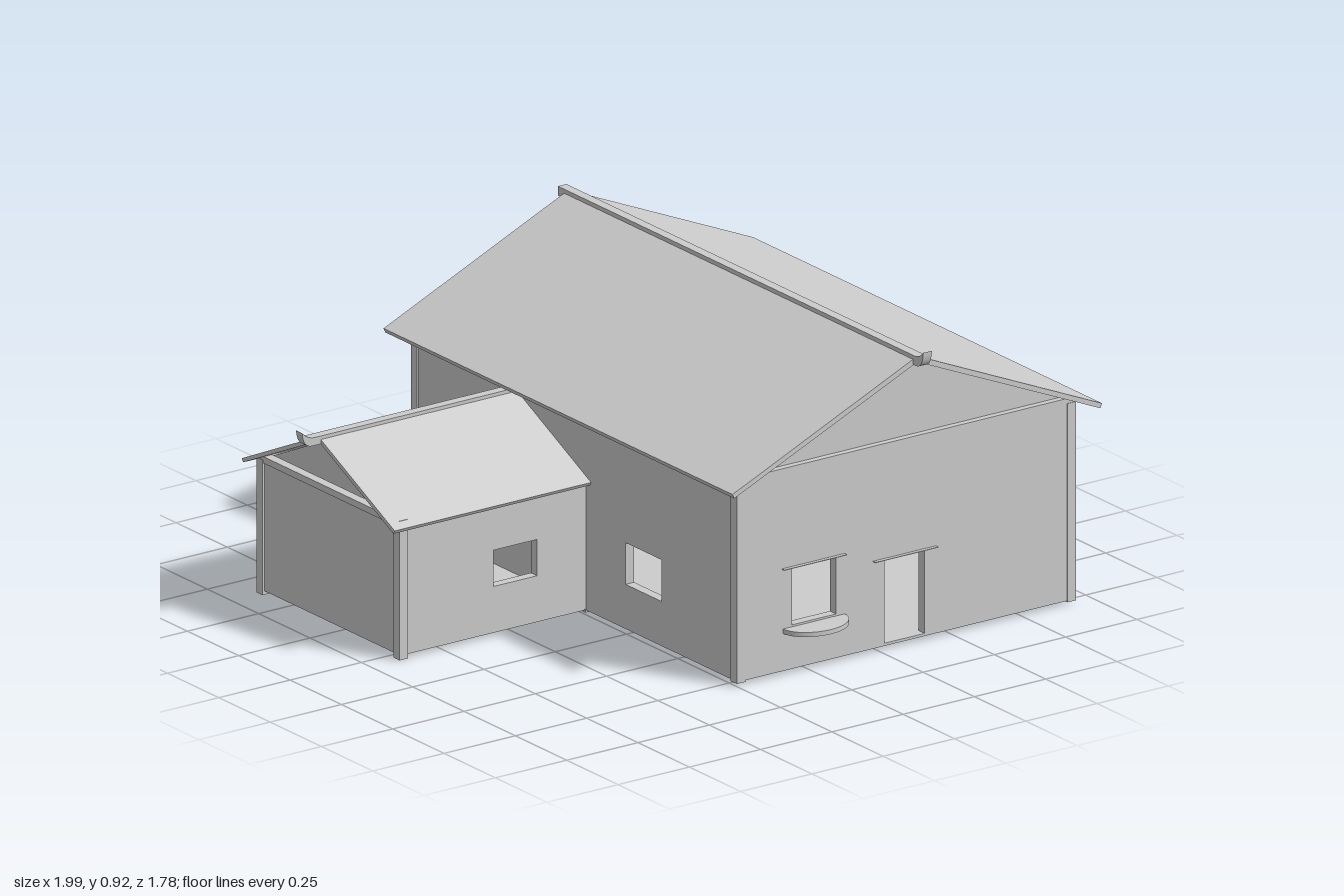
import * as THREE from 'three';

const T = 0.03; // wall thickness

export function createModel() {
  const house = new THREE.Group();
  house.name = 'house';
  const plaster = new THREE.MeshStandardMaterial({ color: 0xcccccc });
  plaster.name = 'plain grey';

  const add = (name, geo) => {
    const mesh = new THREE.Mesh(geo, plaster);
    mesh.name = name;
    house.add(mesh);
    return mesh;
  };
  const box = (name, x0, x1, y0, y1, z0, z1) =>
    add(name, new THREE.BoxGeometry(x1 - x0, y1 - y0, z1 - z0)
      .translate((x0 + x1) / 2, (y0 + y1) / 2, (z0 + z1) / 2));
  const polygon = (pts) => new THREE.Shape(pts.map(([a, b]) => new THREE.Vector2(a, b)));
  const rect = (a0, a1, b0, b1) => polygon([[a0, b0], [a1, b0], [a1, b1], [a0, b1]]);
  const extrude = (shape, depth) =>
    new THREE.ExtrudeGeometry(shape, { depth, bevelEnabled: false, curveSegments: 16 });
  // Profile in x,y reaching from z1 back by depth
  const alongZ = (name, shape, z1, depth) =>
    add(name, extrude(shape, depth).translate(0, 0, z1 - depth));
  // Profile in z,y reaching from x1 towards -x by depth
  const alongX = (name, shape, x1, depth) =>
    add(name, extrude(shape, depth).rotateY(-Math.PI / 2).translate(x1, 0, 0));
  const withHoles = (shape, ...holes) => {
    shape.holes.push(...holes.map((h) => rect(...h)));
    return shape;
  };

  // Roof slab profile: two slopes meeting at the ridge
  const roofShape = (c, half, eave, ridge, t) => polygon([
    [c - half, eave], [c - half + 0.006, eave - t * 0.75], [c, ridge - t],
    [c + half - 0.006, eave - t * 0.75], [c + half, eave], [c, ridge],
  ]);
  const gableShape = (c, half, base, top) => polygon([[c - half, base], [c + half, base], [c, top]]);
  // Ridge beam profile with one upturned end at the positive tip
  const ridgeShape = (back, tip, bottom, top) => {
    const s = new THREE.Shape();
    s.moveTo(back, bottom);
    s.lineTo(tip - 0.035, bottom);
    s.quadraticCurveTo(tip - 0.003, bottom, tip, top + 0.022);
    s.quadraticCurveTo(tip - 0.02, top, tip - 0.045, top);
    s.lineTo(back, top);
    s.closePath();
    return s;
  };

  // Main hall walls
  const sideWindow = [0.24, 0.415, 0.147, 0.273];
  alongZ('frontWall', withHoles(rect(-0.25, 0.94, 0.012, 0.6),
    [-0.055, 0.1, 0.145, 0.32], [0.27, 0.41, 0.02, 0.275]), 0.785, T);
  alongZ('backWall', rect(-0.25, 0.94, 0.012, 0.6), -0.77, T);
  alongX('rightWall', withHoles(rect(-0.77, 0.755, 0.012, 0.6), sideWindow), 0.936, T);
  alongX('leftWall', withHoles(rect(-0.77, 0.755, 0.012, 0.6), sideWindow), -0.246 + T, T);
  box('mainFloor', -0.24, 0.93, 0.012, 0.02, -0.79, 0.78);

  // Main corner posts
  for (const x of [-0.25, 0.91]) {
    for (const z of [-0.801, 0.757]) box('mainPost', x, x + T, 0.008, 0.61, z, z + T);
  }

  // Main gables, set back above a tie beam
  for (const [zBeam, zGable] of [[0.785, 0.765], [-0.77, -0.755]]) {
    box('tieBeam', -0.245, 0.935, 0.6, 0.625, zBeam - T, zBeam);
    alongZ('mainGable', gableShape(0.345, 0.59, 0.61, 0.87), zGable, 0.02);
  }

  // Main roof and ridge
  alongZ('mainRoof', roofShape(0.345, 0.648, 0.609, 0.89, 0.018), 0.84, 1.7);
  alongX('mainRidge', ridgeShape(-0.89, 0.89, 0.868, 0.896), 0.36, T);

  // Wing walls
  alongZ('wingFrontWall', withHoles(rect(-0.9, -0.246, 0.012, 0.41),
    [-0.57, -0.417, 0.152, 0.262]), 0.046, T);
  alongZ('wingBackWall', rect(-0.9, -0.246, 0.012, 0.41), -0.617, T);
  alongX('wingEndWall', rect(-0.617, 0.016, 0.012, 0.4), -0.896 + T, T);
  box('wingFloor', -0.89, -0.24, 0.012, 0.02, -0.64, 0.04);

  // Wing corner posts
  for (const z of [-0.648, 0.02]) {
    box('wingPost', -0.902, -0.902 + T, 0, 0.41, z, z + T);
    box('wingInnerFoot', -0.25, -0.224, 0.006, 0.016, z, z + T);
  }

  // Wing gable, roof and ridge
  box('wingTieBeam', -0.9, -0.87, 0.4, 0.42, -0.645, 0.045);
  alongX('wingGable', gableShape(-0.3, 0.34, 0.405, 0.565), -0.84, 0.02);
  alongX('wingRoof', roofShape(-0.3, 0.372, 0.406, 0.582, 0.014), -0.24, 0.695);
  add('wingRidge', extrude(ridgeShape(0.24, 1, 0.563, 0.587), T)
    .translate(0, 0, -T / 2).rotateY(Math.PI).translate(0, 0, -0.303));

  // Rounded sill below the front window
  const sill = new THREE.Shape();
  sill.absellipse(0, 0, 0.108, 0.083, Math.PI, Math.PI * 2, false, 0);
  sill.closePath();
  add('windowSill', extrude(sill, 0.014).rotateX(-Math.PI / 2).translate(0.022, 0.125, 0.785));

  // Thin ledges over the front openings
  box('windowLintel', -0.09, 0.13, 0.32, 0.322, 0.785, 0.797);
  box('doorLintel', 0.23, 0.45, 0.275, 0.277, 0.785, 0.797);

  return house;
}
